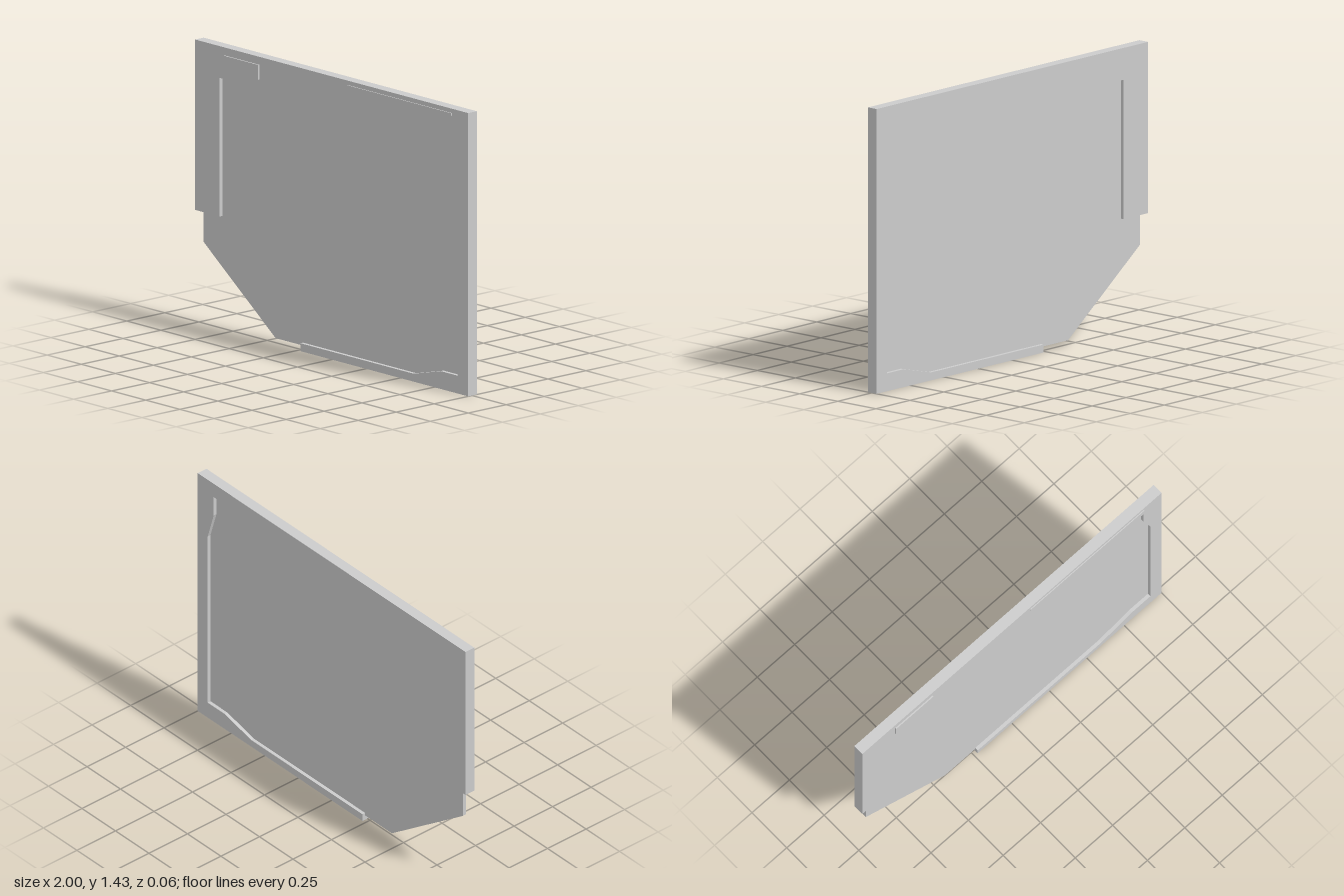
import * as THREE from 'three';

const material = new THREE.MeshStandardMaterial({ color: 0xcccccc, flatShading: true });

// Flat plate with the given outline, filling z from back to front
function plate(name, points, back, front) {
  const shape = new THREE.Shape(points.map(([x, y]) => new THREE.Vector2(x, y)));
  const geometry = new THREE.ExtrudeGeometry(shape, { depth: front - back, bevelEnabled: false });
  geometry.translate(0, 0, back);
  const mesh = new THREE.Mesh(geometry, material);
  mesh.name = name;
  return mesh;
}

const rect = (x0, y0, x1, y1) => [[x0, y0], [x1, y0], [x1, y1], [x0, y1]];

export function createModel() {
  const group = new THREE.Group();
  group.name = 'framedPanel';
  const back = -0.032, front = 0.025;

  // Open frame: bottom rail, right post, top rail and short left post
  group.add(plate('frame', [
    [-0.23, 0], [1, 0], [1, 1.43], [-1, 1.43], [-1, 0.57], [-0.82, 0.57],
    [-0.82, 1.27], [-0.15, 1.27], [0.12, 1.35], [0.88, 1.35], [0.88, 1.24],
    [0.925, 1.09], [0.925, 0.09], [0.8, 0.09], [0.6, 0.04], [-0.23, 0.04],
  ], back, front));

  // Thin panel recessed on both sides, its edges set into the frame
  group.add(plate('panel', [
    [-0.43, 0.025], [0.96, 0.025], [0.96, 1.39], [-0.96, 1.39], [-0.96, 0.415],
  ], -0.014, 0.007));

  // Raised label plate and narrow strip on the top rail
  group.add(plate('labelPlate', rect(-0.78, 1.315, -0.53, 1.39), front - 0.005, 0.032));
  group.add(plate('topStrip', rect(0.12, 1.395, 0.88, 1.408), front - 0.005, 0.03));

  return group;
}
